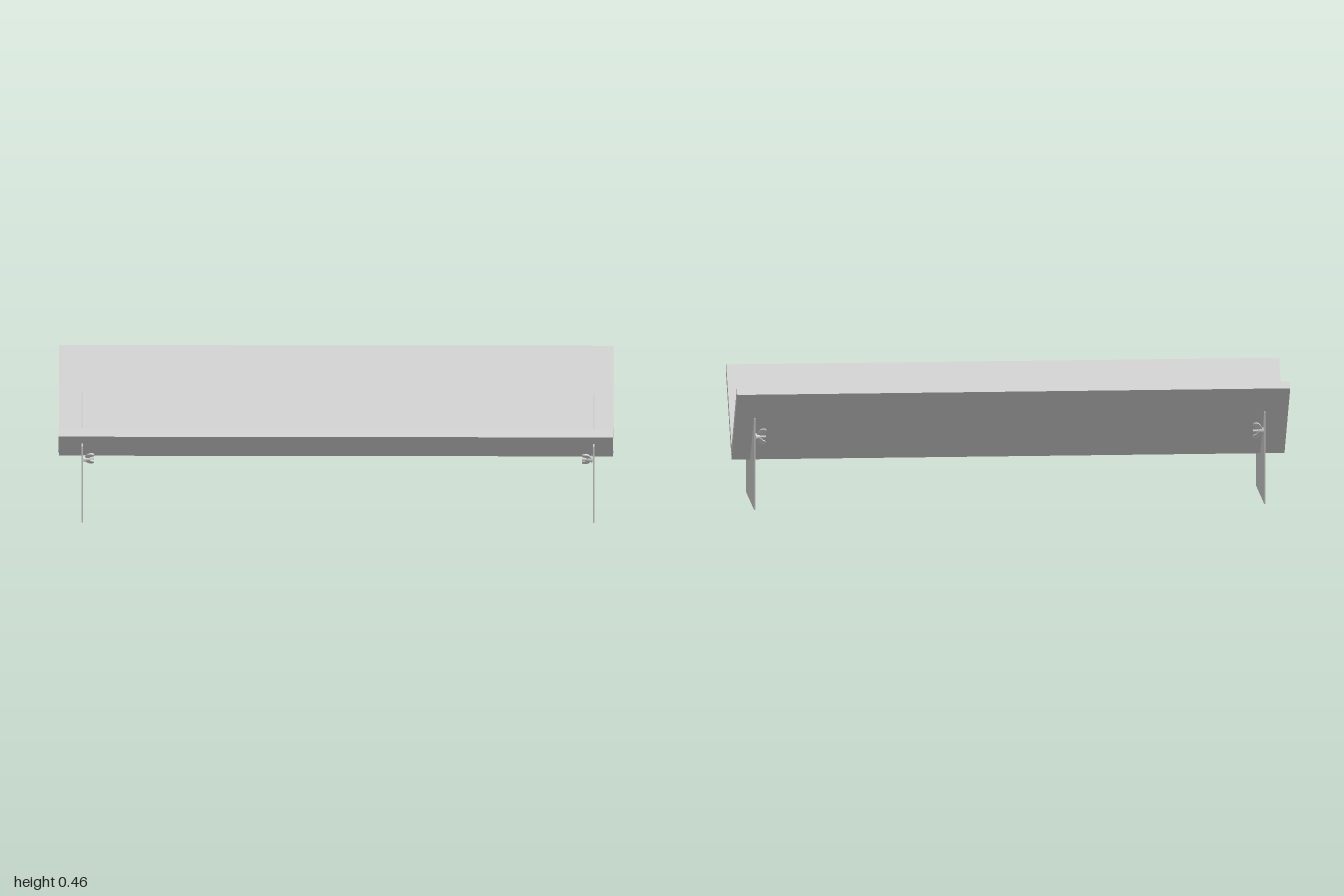
import * as THREE from 'three';

const grey = new THREE.MeshStandardMaterial({ color: 0xcccccc });

function part(name, geometry, parent) {
  const mesh = new THREE.Mesh(geometry, grey);
  mesh.name = name;
  parent.add(mesh);
  return mesh;
}

// Wing nut on a short bolt, axis along local +x, base at x = 0
function wingNut() {
  const nut = new THREE.Group();
  nut.name = 'wingNut';
  const shank = part('bolt', new THREE.CylinderGeometry(0.005, 0.005, 0.04, 16), nut);
  shank.rotation.z = Math.PI / 2;
  shank.position.x = 0.02;
  const hub = part('hub', new THREE.CylinderGeometry(0.009, 0.013, 0.018, 20), nut);
  hub.rotation.z = -Math.PI / 2;
  hub.position.x = 0.011;
  const outline = new THREE.Shape();
  outline.moveTo(0.005, 0.004);
  outline.quadraticCurveTo(0.01, 0.025, 0.02, 0.033);
  outline.quadraticCurveTo(0.033, 0.04, 0.04, 0.031);
  outline.quadraticCurveTo(0.044, 0.022, 0.03, 0.016);
  outline.lineTo(0.018, 0.004);
  const wing = new THREE.ExtrudeGeometry(outline, { depth: 0.006, bevelEnabled: false });
  wing.translate(0, 0, -0.003);
  for (const turn of [0, Math.PI]) part('wing', wing, nut).rotation.x = turn;
  return nut;
}

export function createModel() {
  const model = new THREE.Group();
  model.name = 'vTrough';

  // Two boards meeting in a V, extruded along x
  const profile = new THREE.Shape([
    [0, 0.153], [0.283, 0.436], [0.26, 0.458],
    [0, 0.199], [-0.26, 0.458], [-0.283, 0.436],
  ].map(([z, y]) => new THREE.Vector2(z, y)));
  const trough = new THREE.ExtrudeGeometry(profile, { depth: 2, bevelEnabled: false });
  trough.translate(0, 0, -1);
  trough.rotateY(Math.PI / 2);
  part('trough', trough, model);

  // Pin along the fold
  const pin = part('pin', new THREE.CylinderGeometry(0.005, 0.005, 2.004, 16), model);
  pin.rotation.z = Math.PI / 2;
  pin.position.y = 0.176;

  // Thin end plates, each with two wing nuts on the inner side
  for (const [x, inward] of [[-0.915, 1], [0.93, -1]]) {
    const support = new THREE.Group();
    support.name = inward > 0 ? 'rightSupport' : 'leftSupport';
    support.position.x = x;
    const plate = part('plate', new THREE.BoxGeometry(0.005, 0.335, 0.4), support);
    plate.position.y = 0.1675;
    for (const side of [-1, 1]) {
      const nut = wingNut();
      nut.position.set(inward * 0.002, 0.264, side * 0.174);
      nut.rotation.set(0.5 * side, inward > 0 ? 0 : Math.PI, 0);
      support.add(nut);
    }
    model.add(support);
  }
  return model;
}
